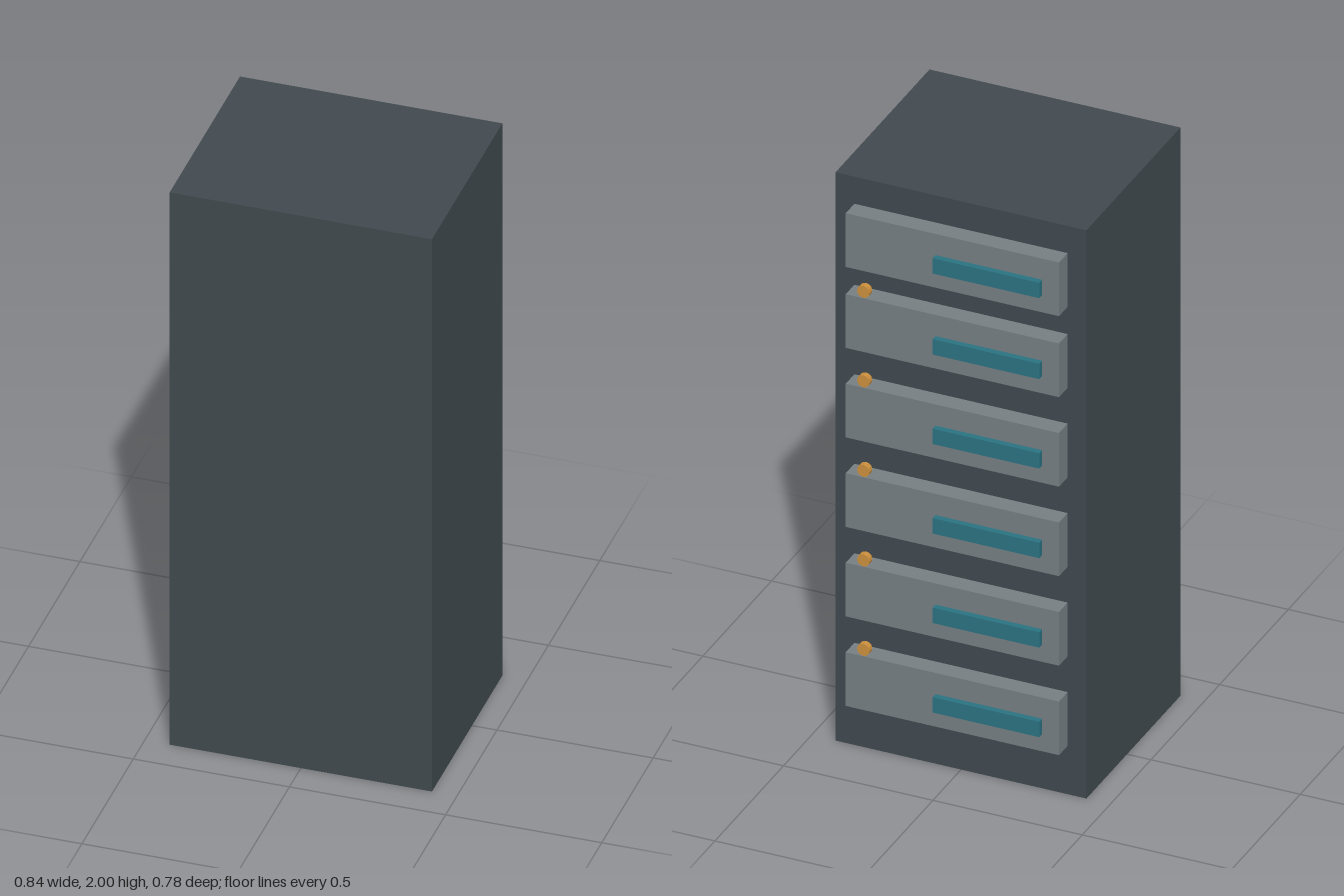
import * as THREE from 'three';

const material = (name, color) => {
  const m = new THREE.MeshStandardMaterial({ color });
  m.name = name;
  return m;
};

export function createModel() {
  const model = new THREE.Group();
  model.name = 'serverCabinet';

  const casing = material('dark casing', 0x40494e);
  const panel = material('grey panel', 0x757e82);
  const teal = material('teal display', 0x2a7180);
  const amber = material('amber light', 0xc98e3c);

  const add = (name, geometry, mat, x, y, z) => {
    const mesh = new THREE.Mesh(geometry, mat);
    mesh.name = name;
    mesh.position.set(x, y, z);
    model.add(mesh);
  };

  // Cabinet body
  add('cabinet', new THREE.BoxGeometry(0.84, 2, 0.684), casing, 0, 1, 0.047);

  // Drawer units on the rear face, each with a display strip
  const drawer = new THREE.BoxGeometry(0.714, 0.189, 0.068);
  const display = new THREE.BoxGeometry(0.357, 0.054, 0.021);
  // Round indicator lights, facing backwards
  const light = new THREE.CylinderGeometry(0.021, 0.021, 0.021, 12).rotateX(Math.PI / 2).toNonIndexed();
  light.computeVertexNormals();

  [0.265, 0.58, 0.895, 1.21, 1.525, 1.81].forEach((y, i) => {
    add('drawer' + (i + 1), drawer, panel, 0, y, -0.324);
    add('display' + (i + 1), display, teal, -0.127, y, -0.379);
    // Lights sit in the gaps between drawers
    if (i < 5) add('light' + (i + 1), light, amber, 0.284, y + 0.137, -0.379);
  });

  return model;
}
